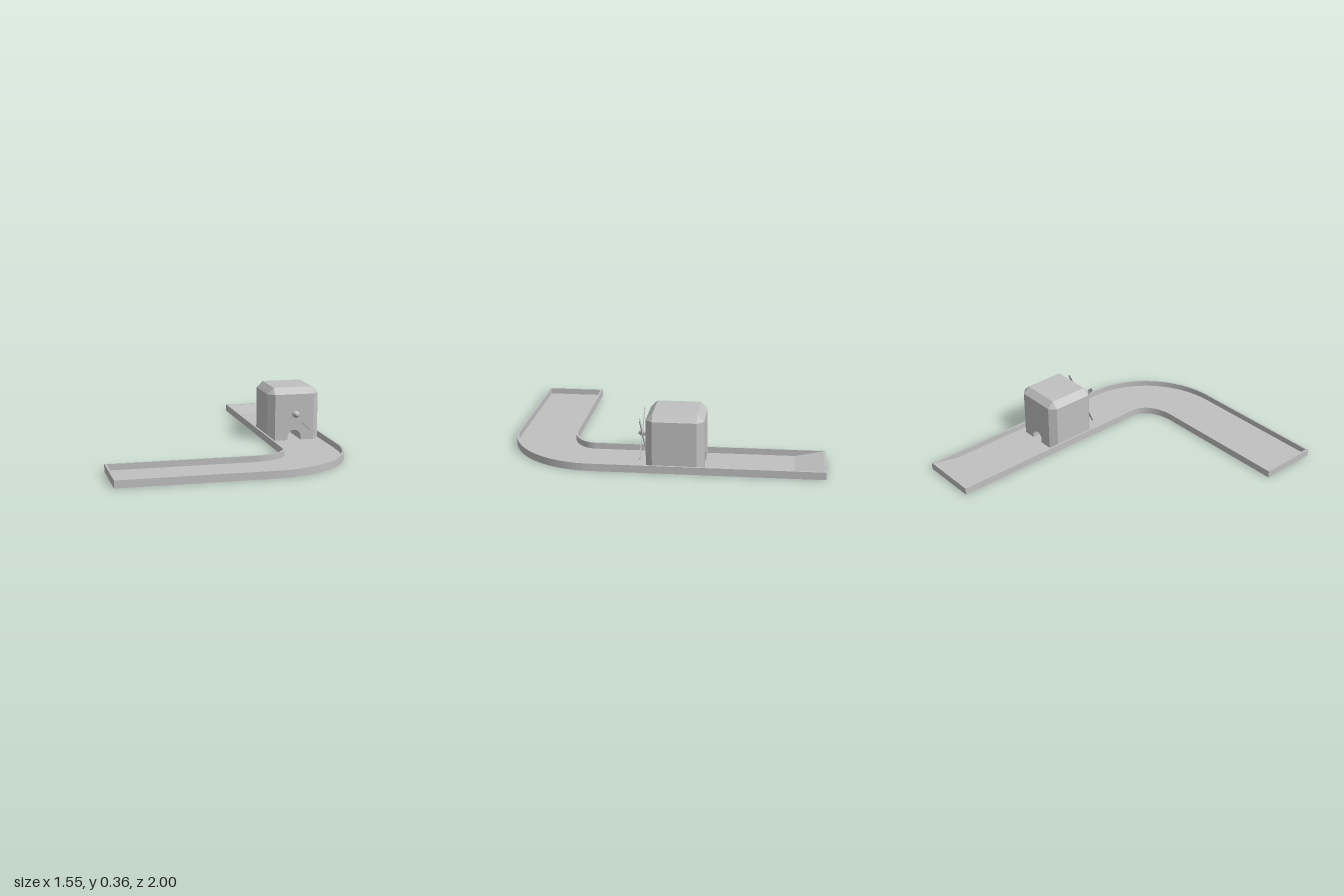
import * as THREE from 'three';

const grey = new THREE.MeshStandardMaterial({ color: 0xc0c0c0 });
grey.name = 'plain grey';

const WALL = 0.012, WALL_TOP = 0.047, FLOOR_TOP = 0.008;
const HOUSE = { x: 0.577, z: -0.088, half: 0.175, depth: 0.177, top: 0.36, bevel: 0.042 };

function part(name, geometry, parent) {
  const flat = geometry.index ? geometry.toNonIndexed() : geometry;
  flat.computeVertexNormals();
  const mesh = new THREE.Mesh(flat, grey);
  mesh.name = name;
  parent.add(mesh);
  return mesh;
}

// Outline of the curved lane, inset by t (shape y is -z)
function laneOutline(t, Type = THREE.Shape) {
  const s = new Type();
  s.moveTo(-0.775 + t, -0.605 - t);
  s.lineTo(-0.775 + t, -0.997 + t);
  s.lineTo(0.18, -0.997 + t);
  s.absellipse(0.18, -0.425, 0.592 - t, 0.572 - t, -Math.PI / 2, 0, false);
  s.lineTo(0.772 - t, 1 - t);
  s.lineTo(0.383 + t, 1 - t);
  s.lineTo(0.383 + t, -0.45);
  s.absellipse(0.16, -0.45, 0.223 + t, 0.155 + t, 0, -Math.PI / 2, true);
  s.lineTo(-0.775 + t, -0.605 - t);
  return s;
}

function slab(shape, height) {
  return new THREE.ExtrudeGeometry(shape, { depth: height, bevelEnabled: false, curveSegments: 16 })
    .rotateX(-Math.PI / 2);
}

// Chamfered block with an arched tunnel running front to back
function houseGeometry() {
  const { half: h, depth: d, top, bevel: b } = HOUSE;
  const s = new THREE.Shape();
  s.moveTo(0.045, FLOOR_TOP);
  s.lineTo(h - b, FLOOR_TOP);
  s.lineTo(h, FLOOR_TOP);
  s.lineTo(h, top - b);
  s.lineTo(h - b, top);
  s.lineTo(b - h, top);
  s.lineTo(-h, top - b);
  s.lineTo(-h, FLOOR_TOP);
  s.lineTo(b - h, FLOOR_TOP);
  s.lineTo(-0.045, FLOOR_TOP);
  s.lineTo(-0.045, 0.031);
  s.absarc(0, 0.031, 0.045, Math.PI, 0, true);
  const g = new THREE.ExtrudeGeometry(s, { depth: 3, steps: 3, bevelEnabled: false, curveSegments: 14 });
  const levels = [-d, b - d, d - b, d];
  const p = g.attributes.position;
  for (let i = 0; i < p.count; i++) {
    const k = Math.round(p.getZ(i));
    if (k === 0 || k === 3) { // end rings shrink to make the chamfer
      p.setX(i, THREE.MathUtils.clamp(p.getX(i), b - h, h - b));
      p.setY(i, Math.min(p.getY(i), top - b));
    }
    p.setZ(i, levels[k]);
  }
  return g;
}

export function createModel() {
  const model = new THREE.Group();
  model.name = 'miniGolfHole';

  // Lane: floor, surrounding wall and end ramp
  const lane = new THREE.Group();
  lane.name = 'lane';
  model.add(lane);
  part('floor', slab(laneOutline(WALL / 2), FLOOR_TOP), lane);
  const rim = laneOutline(0);
  rim.holes.push(laneOutline(WALL, THREE.Path));
  part('wall', slab(rim, WALL_TOP), lane);

  const wedge = new THREE.Shape([
    new THREE.Vector2(0.81, FLOOR_TOP - 0.002),
    new THREE.Vector2(0.998, FLOOR_TOP - 0.002),
    new THREE.Vector2(0.998, WALL_TOP + 0.0005),
    new THREE.Vector2(0.81, FLOOR_TOP),
  ]);
  const ramp = part('ramp', new THREE.ExtrudeGeometry(wedge, { depth: 0.372, bevelEnabled: false })
    .rotateY(Math.PI / 2), lane);
  ramp.position.x = 0.3915;

  // Windmill house
  const mill = new THREE.Group();
  mill.name = 'windmill';
  mill.position.set(HOUSE.x, 0, HOUSE.z);
  model.add(mill);
  part('house', houseGeometry(), mill);

  // Axle, nose and four sails on the front
  const rotor = new THREE.Group();
  rotor.name = 'rotor';
  rotor.position.set(0, 0.19, HOUSE.depth);
  mill.add(rotor);
  const axle = part('axle', new THREE.CylinderGeometry(0.018, 0.018, 0.046, 12).rotateX(Math.PI / 2), rotor);
  axle.position.z = 0.018;
  const nose = part('nose', new THREE.CylinderGeometry(0.007, 0.024, 0.021, 12).rotateX(Math.PI / 2), rotor);
  nose.position.z = 0.05;
  for (let i = 0; i < 4; i++) {
    const sail = part('sail', new THREE.BoxGeometry(0.178, 0.022, 0.004).translate(0.089, 0, 0), rotor);
    sail.position.z = 0.038;
    sail.rotation.z = Math.PI / 4 + i * Math.PI / 2;
  }
  return model;
}
